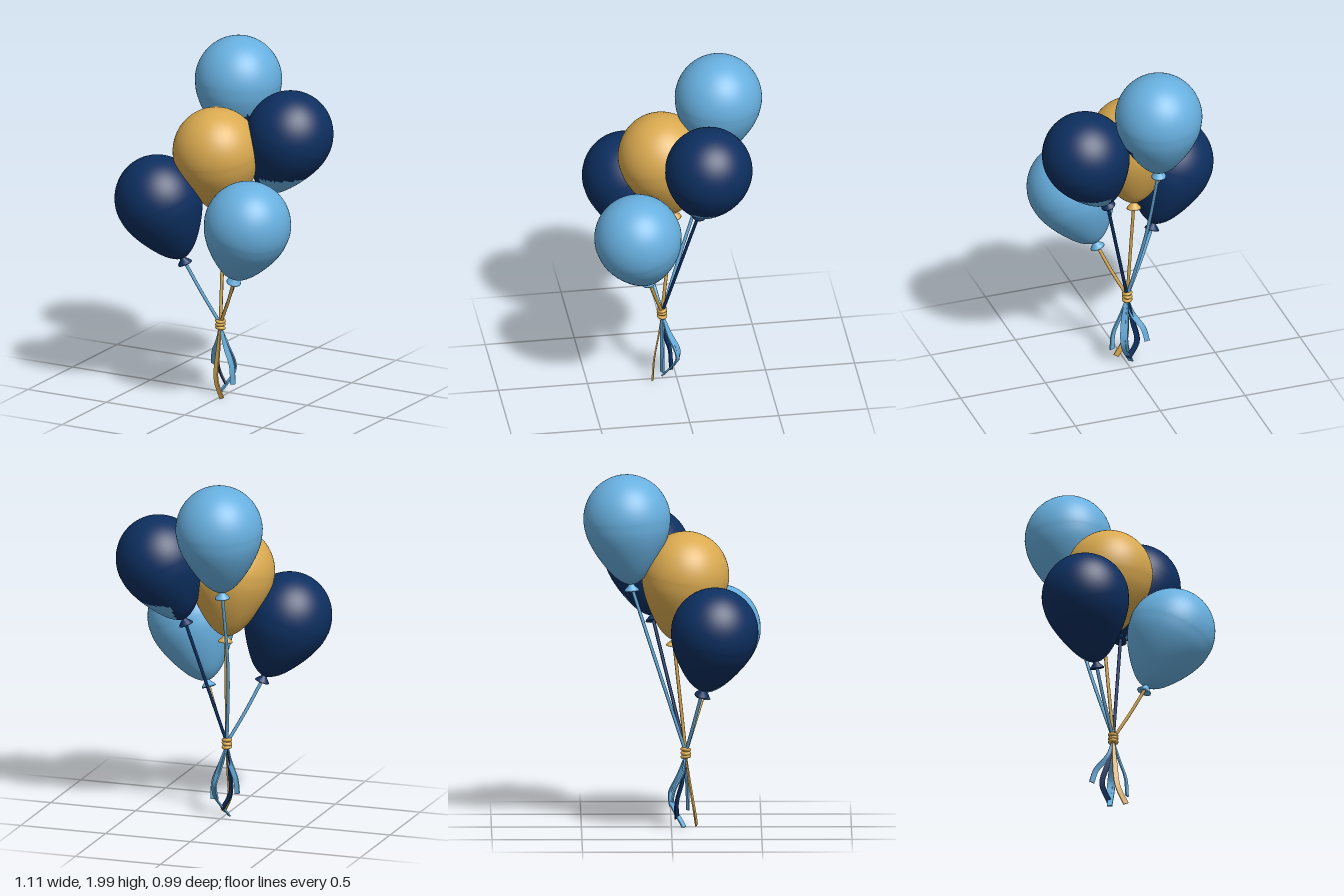
import * as THREE from 'three';

const mat = (name, color) => Object.assign(new THREE.MeshStandardMaterial({ color }), { name });
const V = (x, y, z) => new THREE.Vector3(x, y, z);
const V2 = (x, y) => new THREE.Vector2(x, y);

const TIE = V(-0.01, 0.43, 0.08);

// Teardrop skin, bottom to top, origin at the widest ring
function skinProfile() {
  const lower = new THREE.SplineCurve([
    V2(0.013, -0.362), V2(0.04, -0.353), V2(0.09, -0.315), V2(0.148, -0.242),
    V2(0.2, -0.155), V2(0.232, -0.075), V2(0.243, 0),
  ]).getPoints(26);
  for (let i = 1; i <= 18; i++) {
    const a = (i / 18) * Math.PI / 2;
    lower.push(V2(Math.max(0.243 * Math.cos(a), 0), 0.252 * Math.sin(a)));
  }
  return lower;
}

// Gives the triangles whose centre passes the test the second material
function paintPatch(geo, test) {
  const p = geo.attributes.position, idx = geo.index.array;
  const base = [], patch = [], c = V(), v = V();
  for (let i = 0; i < idx.length; i += 3) {
    c.set(0, 0, 0);
    for (let k = 0; k < 3; k++) c.addScaledVector(v.fromBufferAttribute(p, idx[i + k]), 1 / 3);
    (test(c) ? patch : base).push(idx[i], idx[i + 1], idx[i + 2]);
  }
  geo.setIndex([...base, ...patch]);
  geo.addGroup(0, base.length, 0);
  geo.addGroup(base.length, patch.length, 1);
}

// Flat ribbon following a curve, its width along the given direction
function ribbon(points, width, across) {
  const curve = new THREE.CatmullRomCurve3(points);
  const geo = new THREE.BoxGeometry(width, 1, 0.008, 1, 24, 1);
  const p = geo.attributes.position;
  for (let i = 0; i < p.count; i++) {
    const t = THREE.MathUtils.clamp(p.getY(i) + 0.5, 0, 1);
    const tan = curve.getTangent(1 - t).negate();
    const w = across.clone().addScaledVector(tan, -across.dot(tan)).normalize();
    const n = w.clone().cross(tan);
    const taper = 0.45 + 0.55 * Math.min(1, (1 - t) * 2.5);
    const q = curve.getPoint(1 - t).addScaledVector(w, p.getX(i) * taper).addScaledVector(n, p.getZ(i));
    p.setXYZ(i, q.x, q.y, q.z);
  }
  geo.computeVertexNormals();
  return geo;
}

export function createModel() {
  const model = new THREE.Group();
  model.name = 'balloonBunch';
  const sky = mat('skyBlue', 0x68b0e0);
  const navy = mat('navyBlue', 0x0d2f60);
  const gold = mat('gold', 0xdaaa50);

  const add = (parent, name, geo, material) => {
    const mesh = new THREE.Mesh(geo, material);
    mesh.name = name;
    parent.add(mesh);
    return mesh;
  };

  // Balloons: centre, neck end, skin colour, string colour, optional tinted patch
  const balloons = [
    { name: 'topBalloon', c: V(-0.08, 1.748, -0.247), n: V(-0.09, 1.34, -0.22), skin: sky, cord: sky, bow: V(-0.02, 0, 0),
      patch: navy, test: (p) => p.y < 1.6 && (p.x + 0.08) * 0.8 + (p.z + 0.247) * 0.6 > 0.1 },
    { name: 'upperLeftBalloon', c: V(0.31, 1.515, -0.135), n: V(0.16, 1.13, -0.1), skin: navy, cord: navy, bow: V(0, 0, 0),
      patch: sky, test: (p) => p.y < 1.285 && p.x > 0.2 },
    { name: 'middleBalloon', c: V(-0.037, 1.423, 0.078), n: V(-0.025, 1.03, 0.01), skin: gold, cord: gold, bow: V(0, 0, 0) },
    { name: 'lowerRightBalloon', c: V(-0.316, 1.147, 0.238), n: V(-0.19, 0.79, 0.17), skin: navy, cord: sky, bow: V(-0.005, 0, 0) },
    { name: 'lowerLeftBalloon', c: V(0.262, 1.085, 0.255), n: V(0.135, 0.73, 0.18), skin: sky, cord: gold, bow: V(0.005, 0, 0) },
  ];
  const profile = skinProfile();
  const lipProfile = [V2(0, -0.388), V2(0.03, -0.402), V2(0.041, -0.4), V2(0.039, -0.392), V2(0.018, -0.37), V2(0.012, -0.355)];
  for (const b of balloons) {
    const group = new THREE.Group();
    group.name = b.name;
    model.add(group);
    const axis = b.c.clone().sub(b.n).normalize();
    const place = new THREE.Matrix4().makeRotationFromQuaternion(
      new THREE.Quaternion().setFromUnitVectors(V(0, 1, 0), axis)).setPosition(b.c);

    const skin = new THREE.LatheGeometry(profile, 56).applyMatrix4(place);
    if (b.patch) paintPatch(skin, b.test);
    add(group, 'skin', skin, b.patch ? [b.skin, b.patch] : b.skin);
    add(group, 'neckLip', new THREE.LatheGeometry(lipProfile, 20).applyMatrix4(place), b.skin);

    // String from the neck down to the tie
    const end = b.c.clone().addScaledVector(axis, -0.375);
    const mid = end.clone().lerp(TIE, 0.5).add(b.bow);
    add(group, 'string', new THREE.TubeGeometry(new THREE.CatmullRomCurve3([end, mid, TIE]), 20, 0.0095, 8), b.cord);
  }

  // Wrapped tie
  const tie = new THREE.Group();
  tie.name = 'tie';
  model.add(tie);
  [0.408, 0.428, 0.448].forEach((y, i) => {
    const ring = add(tie, 'tieWrap', new THREE.TorusGeometry(0.019, 0.0105, 10, 24), gold);
    ring.position.set(TIE.x, y, TIE.z);
    ring.rotation.set(Math.PI / 2 + (i - 1) * 0.12, (i % 2 ? 0.12 : -0.1), 0);
  });
  const core = add(tie, 'tieCore', new THREE.CylinderGeometry(0.019, 0.019, 0.06, 16), gold);
  core.position.copy(TIE);

  // Loose ribbon tails
  const start = V(TIE.x, 0.415, TIE.z);
  const tails = [
    [sky, V(1, 0, 0.3), [V(-0.035, 0.32, 0.065), V(-0.085, 0.235, 0.02), V(-0.1, 0.165, 0)]],
    [sky, V(1, 0, -0.5), [V(0.025, 0.31, 0.085), V(0.068, 0.2, 0.09), V(0.076, 0.095, 0.092)]],
    [gold, V(1, 0, 0.3), [V(-0.014, 0.27, 0.1), V(-0.012, 0.12, 0.125), V(0.034, 0.018, 0.14)]],
    [sky, V(0.7, 0, 0.7), [V(0.02, 0.31, 0.05), V(0.04, 0.16, 0.0), V(-0.028, 0.014, 0.07)]],
    [navy, V(0.8, 0, 0.6), [V(-0.035, 0.27, 0.06), V(-0.05, 0.16, 0.03), V(0.0, 0.06, 0.03)]],
    [sky, V(0.7, 0, 0.7), [V(0.012, 0.3, 0.04), V(0.03, 0.2, -0.005), V(0.02, 0.125, 0.0)]],
  ];
  for (const [material, across, pts] of tails)
    add(model, 'ribbonTail', ribbon([start, ...pts], 0.03, across), material);

  return model;
}
